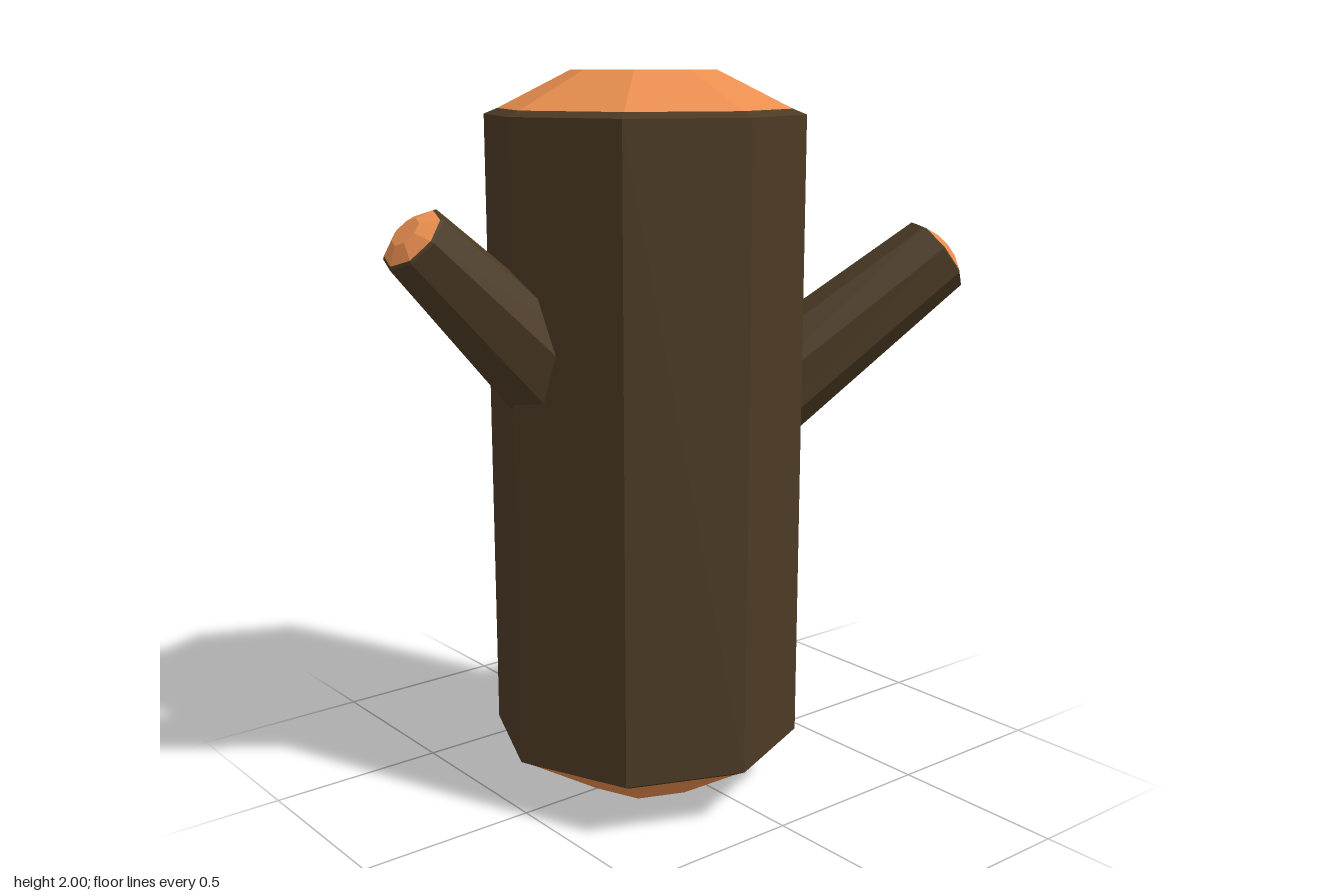
import * as THREE from 'three';

const SIDES = 8;
const bark = new THREE.MeshStandardMaterial({ color: 0x4b3a24, flatShading: true });
const wood = new THREE.MeshStandardMaterial({ color: 0xe88d4f, flatShading: true });

// Faceted solid of revolution; profile runs from bottom to top as [radius, y]
function turned(name, profile, material) {
  const points = profile.map(([r, y]) => new THREE.Vector2(r, y));
  const mesh = new THREE.Mesh(new THREE.LatheGeometry(points, SIDES), material);
  mesh.name = name;
  return mesh;
}

// Tapered branch from start to the rim of its cut end, with a domed wood cap
function branch(name, start, end, r0, r1) {
  const a = new THREE.Vector3(...start);
  const axis = new THREE.Vector3(...end).sub(a);
  const h = axis.length();
  const lip = 0.006, dome = 0.03;
  const group = new THREE.Group();
  group.name = name;
  group.add(
    turned(name + 'Bark', [[0, 0], [r0, 0], [r1, h], [r1 * 0.92, h + lip]], bark),
    turned(name + 'CutEnd', [[r1 * 0.92, h + lip], [r1 * 0.45, h + dome], [0, h + dome]], wood)
  );
  group.position.copy(a);
  group.quaternion.setFromUnitVectors(new THREE.Vector3(0, 1, 0), axis.normalize());
  return group;
}

export function createModel() {
  const model = new THREE.Group();
  model.name = 'log';

  // Trunk with bark lips and domed cut wood at both ends
  const trunk = new THREE.Group();
  trunk.name = 'trunk';
  trunk.position.x = -0.08;
  trunk.add(
    turned('trunkBark', [[0.395, 0.135], [0.432, 0.155], [0.432, 1.885], [0.395, 1.9]], bark),
    turned('topCut', [[0.395, 1.9], [0.195, 2], [0, 2]], wood),
    turned('bottomCut', [[0, 0], [0.178, 0], [0.395, 0.135]], wood)
  );
  model.add(trunk);

  // Two branch stubs
  model.add(
    branch('leftBranch', [0.15, 0.972, -0.01], [0.755, 1.482, 0.305], 0.16, 0.115),
    branch('rightBranch', [-0.3, 1.14, -0.015], [-0.78, 1.597, -0.015], 0.158, 0.097)
  );
  return model;
}
